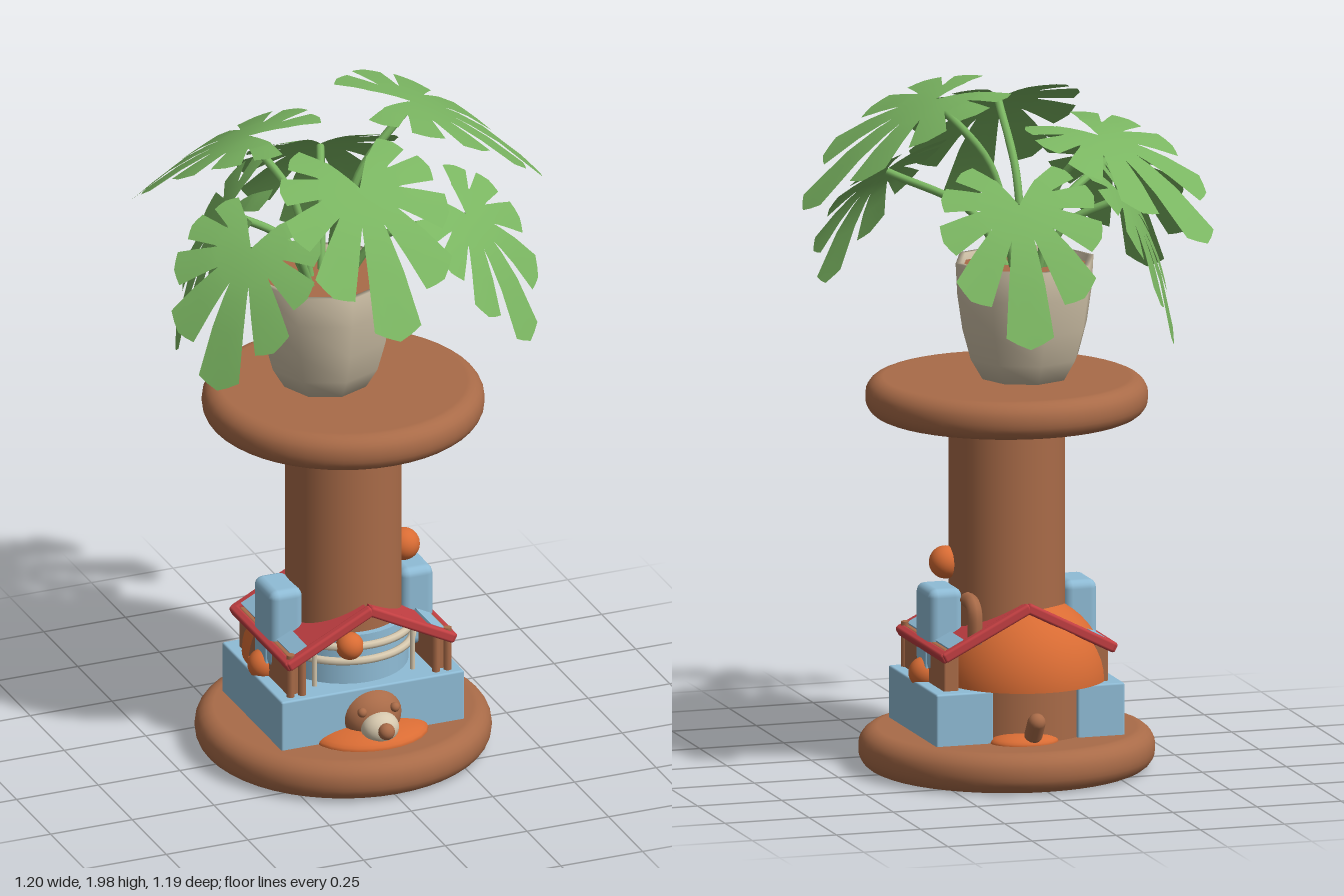
import * as THREE from 'three';
import { mergeVertices } from 'three/addons/utils/BufferGeometryUtils.js';
import { RoundedBoxGeometry } from 'three/addons/geometries/RoundedBoxGeometry.js';

const mat = (name, color, side = THREE.FrontSide) => {
  const m = new THREE.MeshStandardMaterial({ color, side });
  m.name = name;
  return m;
};

export function createModel() {
  const brown = mat('brown', 0xa96b48), blue = mat('blue', 0x8fbcd6), red = mat('red', 0xc23f42);
  const orange = mat('orange', 0xd96c34, THREE.DoubleSide), cream = mat('cream', 0xd6c8ae);
  const potClay = mat('potClay', 0xd0c2a8, THREE.DoubleSide), green = mat('leafGreen', 0x7ab561, THREE.DoubleSide);
  const model = new THREE.Group();
  model.name = 'plantStand';

  const add = (name, geo, m, x = 0, y = 0, z = 0, parent = model) => {
    const mesh = new THREE.Mesh(geo, m);
    mesh.name = name;
    mesh.position.set(x, y, z);
    parent.add(mesh);
    return mesh;
  };
  const box = (name, m, x0, x1, y0, y1, z0, z1, r = 0.006) =>
    add(name, new RoundedBoxGeometry(x1 - x0, y1 - y0, z1 - z0, 2, r), m, (x0 + x1) / 2, (y0 + y1) / 2, (z0 + z1) / 2);
  const ball = (name, m, r, x, y, z) => add(name, new THREE.SphereGeometry(r, 24, 16), m, x, y, z);
  const tube = (name, m, r, pts) =>
    add(name, new THREE.TubeGeometry(new THREE.CatmullRomCurve3(pts.map(p => new THREE.Vector3(...p))), 16, r, 8), m);

  // Rounded discs and column
  const disc = (name, r, y0, y1) => {
    const e = (y1 - y0) * 0.45, pts = [new THREE.Vector2(0, y0)];
    for (let i = 0; i <= 6; i++) {
      const a = -Math.PI / 2 + i * Math.PI / 12;
      pts.push(new THREE.Vector2(r - e + Math.cos(a) * e, y0 + e + Math.sin(a) * e));
    }
    for (let i = 0; i <= 6; i++) {
      const a = i * Math.PI / 12;
      pts.push(new THREE.Vector2(r - e + Math.cos(a) * e, y1 - e + Math.sin(a) * e));
    }
    pts.push(new THREE.Vector2(0, y1));
    add(name, new THREE.LatheGeometry(pts, 48), brown);
  };
  disc('baseDisc', 0.42, 0.003, 0.12);
  disc('topDisc', 0.4, 1.02, 1.13);
  add('column', new THREE.CylinderGeometry(0.165, 0.165, 0.92, 40), brown, 0, 0.57, 0);

  // Blue lower walls, open at the middle of the back
  box('lowerWall', blue, -0.28, 0.28, 0.11, 0.27, -0.05, 0.22);
  box('backWallLeft', blue, 0.11, 0.28, 0.11, 0.27, -0.22, -0.04);
  box('backWallRight', blue, -0.28, -0.14, 0.11, 0.27, -0.22, -0.04);

  // Upper walls, posts, towers and side balls, mirrored
  for (const s of [1, -1]) {
    const span = (a, b) => (s > 0 ? [a, b] : [-b, -a]);
    box('upperWall', brown, ...span(0.2, 0.245), 0.26, 0.39, -0.18, 0.18);
    box('wallPilaster', blue, ...span(0.2, 0.255), 0.26, 0.38, -0.04, 0.04);
    box('tower', blue, ...span(0.15, 0.25), 0.3, 0.54, -0.07, 0.075, 0.025);
    ball('sideBall', orange, 0.045, s * 0.245, 0.29, 0);
    for (const x of [0.205, 0.24]) {
      add('frontPost', new THREE.CylinderGeometry(0.012, 0.012, 0.14, 8), brown, s * x, 0.33, 0.19);
    }
    // Roof panel, gable beams and eave
    const slope = new THREE.Group();
    slope.name = 'roofSlope';
    slope.position.set(s * 0.125, 0.435, 0);
    slope.rotation.z = -s * 0.47;
    model.add(slope);
    add('roofPanel', new THREE.BoxGeometry(0.275, 0.016, 0.4), red, 0, 0, 0, slope);
    add('eaveStrip', new THREE.BoxGeometry(0.05, 0.008, 0.38), blue, s * 0.09, 0.011, 0, slope);
    for (const z of [0.2, -0.2]) {
      add('gableBeam', new RoundedBoxGeometry(0.29, 0.03, 0.028, 2, 0.008), red, 0, 0, z, slope);
    }
    add('eaveBeam', new RoundedBoxGeometry(0.026, 0.03, 0.42, 2, 0.008), red, s * 0.138, 0, 0, slope);
  }

  // Front drum with cream rails
  add('frontDrum', new THREE.CylinderGeometry(0.185, 0.185, 0.16, 32), blue, 0, 0.34, 0);
  for (const y of [0.345, 0.39]) {
    const rail = add('rail', new THREE.TorusGeometry(0.195, 0.012, 8, 32, Math.PI), cream, 0, y, 0);
    rail.rotation.x = Math.PI / 2;
  }
  for (const x of [-0.15, 0.15]) {
    add('railPost', new THREE.CylinderGeometry(0.008, 0.008, 0.14, 8), cream, x, 0.33, 0.15);
  }
  ball('railBall', orange, 0.04, -0.055, 0.39, 0.18);

  // Rear dome on its round wall
  const rearDome = new THREE.SphereGeometry(0.24, 32, 12, 0, Math.PI, 0, Math.PI / 2);
  add('rearDome', rearDome, orange, -0.03, 0.27, -0.05).rotation.y = Math.PI;
  add('domeWall', new THREE.CylinderGeometry(0.2, 0.2, 0.16, 32), brown, -0.02, 0.19, -0.05);
  add('domeFloor', new THREE.CircleGeometry(0.238, 32, 0, Math.PI), orange, -0.03, 0.271, -0.05).rotation.x = -Math.PI / 2;

  // Ball and pipe above the roof
  ball('towerBall', orange, 0.047, 0.175, 0.6, 0.022);
  tube('roofPipe', brown, 0.022, [[0.15, 0.4, -0.17], [0.15, 0.49, -0.17], [0.15, 0.51, -0.15], [0.15, 0.515, -0.1]]);
  ball('towerKnob', cream, 0.015, -0.14, 0.525, 0.05);

  // Bear lying at the front, tail at the back
  ball('bearBody', orange, 0.17, 0, 0.12, 0.2).scale.set(1, 0.25, 0.75);
  ball('bearHead', brown, 0.09, 0, 0.18, 0.2).scale.set(1, 0.9, 0.85);
  ball('bearMuzzle', cream, 0.055, 0, 0.165, 0.27).scale.set(1, 0.85, 0.9);
  ball('bearNose', brown, 0.024, 0, 0.172, 0.318);
  for (const x of [-0.05, 0.05]) ball('bearEye', brown, 0.014, x, 0.215, 0.26);
  ball('tailCushion', orange, 0.1, 0.02, 0.12, -0.22).scale.set(1, 0.3, 0.75);
  const tail = add('tail', new THREE.CapsuleGeometry(0.026, 0.05, 6, 12), brown, 0.01, 0.17, -0.29);
  tail.rotation.x = -0.6;

  // Eight-sided pot with soil
  const potProfile = [[0, 1.131], [0.125, 1.131], [0.16, 1.19], [0.185, 1.28], [0.2, 1.38], [0.205, 1.47], [0.188, 1.47], [0.183, 1.42]];
  add('pot', new THREE.LatheGeometry(potProfile.map(p => new THREE.Vector2(...p)), 8), potClay, -0.045, 0, -0.025);
  add('soil', new THREE.CylinderGeometry(0.19, 0.185, 0.02, 8), brown, -0.045, 1.44, -0.025);

  // Split leaf: lobes fan around the stalk, joined near the centre
  const leafGeometry = () => {
    const pos = [], lobes = [0.25, 0.27, 0.3, 0.36, 0.43, 0.36, 0.3, 0.27, 0.25];
    const reach = 2.62, step = (2 * reach) / lobes.length;
    const point = (k, a, f) => {
      const gap = Math.max(0, f - 0.5) * 0.3;
      const th = -reach + step * (k + a * (1 - 2 * gap) + gap);
      const end = 0.93 + 0.07 * (1 - Math.abs(2 * a - 1));
      const joint = 0.27 * f, full = lobes[k] * f * end;
      const r = f <= 0.5 ? joint : 0.135 + (full - 0.135 * end * 1) * ((f - 0.5) / 0.5);
      const u = r * Math.sin(th), v = r * Math.cos(th);
      return [u, -0.9 * ((v + 0.2) ** 2 - 0.04) - 0.2 * u * u, v];
    };
    const n = 6, m = 4;
    for (let k = 0; k < lobes.length; k++) {
      for (let i = 0; i < m; i++) {
        for (let j = 0; j < n; j++) {
          const a = point(k, i / m, j / n), b = point(k, (i + 1) / m, j / n);
          const c = point(k, (i + 1) / m, (j + 1) / n), d = point(k, i / m, (j + 1) / n);
          pos.push(...a, ...d, ...c);
          if (j > 0) pos.push(...a, ...c, ...b);
        }
      }
    }
    const raw = new THREE.BufferGeometry();
    raw.setAttribute('position', new THREE.Float32BufferAttribute(pos, 3));
    const geo = mergeVertices(raw, 1e-4);
    geo.computeVertexNormals();
    return geo;
  };
  const leaf = leafGeometry();

  // Leaves: x, y, z, heading in degrees, pitch, scale
  const leaves = [
    [0.22, 1.95, -0.03, 90, 0, 0.92],
    [-0.07, 1.87, 0.29, 0, 0.22, 0.86],
    [0.28, 1.7, 0.23, 40, 0.4, 0.76],
    [-0.37, 1.7, 0.21, -50, 0.4, 0.77],
    [-0.3, 1.66, -0.13, -110, 0.6, 0.85],
    [-0.21, 1.85, -0.19, -140, 0, 0.85],
    [0.08, 1.7, -0.36, 170, 0.35, 0.82],
  ];
  for (const [x, y, z, heading, pitch, size] of leaves) {
    const l = add('leaf', leaf, green, x, y, z);
    l.rotation.set(pitch, heading * Math.PI / 180, 0, 'YXZ');
    l.scale.setScalar(size);
    const bx = -0.045 + x * 0.15, bz = -0.025 + z * 0.15;
    tube('stem', green, 0.012, [[bx, 1.44, bz], [bx + (x - bx) * 0.3, 1.44 + (y - 1.44) * 0.6, bz + (z - bz) * 0.3], [x, y - 0.008, z]]);
  }
  return model;
}
